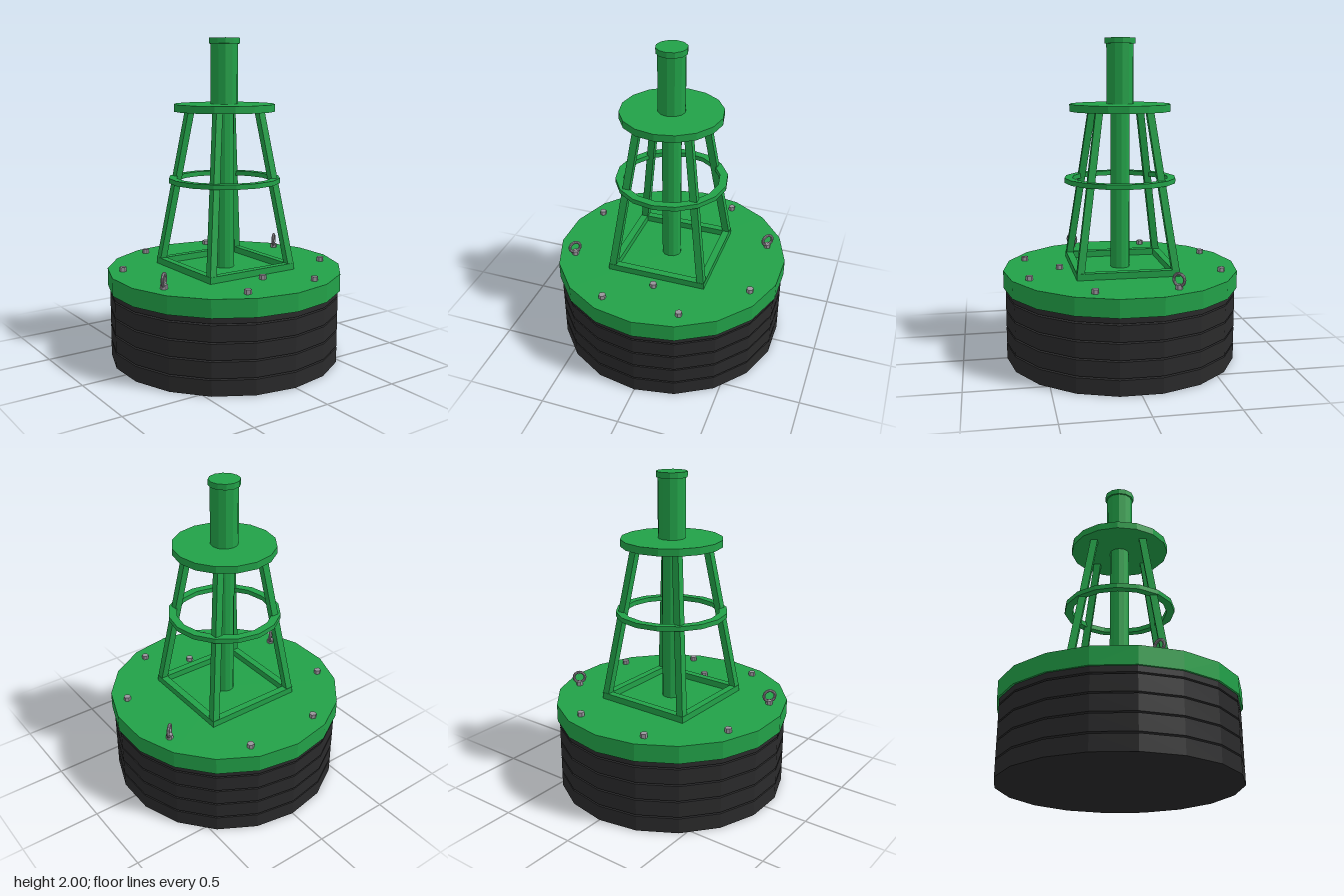
import * as THREE from 'three';

const flat = (name, color) => {
  const m = new THREE.MeshStandardMaterial({ color, flatShading: true });
  m.name = name;
  return m;
};

export function createModel() {
  const green = flat('green paint', 0x22a148);
  const black = flat('black rubber', 0x2a2a2b);
  const steel = flat('steel', 0x99959c);
  const buoy = new THREE.Group();
  buoy.name = 'buoy';

  const add = (name, geometry, material, x = 0, y = 0, z = 0, parent = buoy) => {
    const mesh = new THREE.Mesh(geometry, material);
    mesh.name = name;
    mesh.position.set(x, y, z);
    parent.add(mesh);
    return mesh;
  };
  // Upright prism between two heights
  const drum = (name, r, y0, y1, sides, material, x = 0, z = 0, parent = buoy) =>
    add(name, new THREE.CylinderGeometry(r, r, y1 - y0, sides), material, x, (y0 + y1) / 2, z, parent);

  // Float with four narrow grooves
  const R = 0.727, groove = 0.682;
  const profile = [[0, 0], [R, 0]];
  for (const y of [0.1, 0.207, 0.313, 0.42]) {
    profile.push([R, y - 0.005], [groove, y - 0.005], [groove, y + 0.005], [R, y + 0.005]);
  }
  profile.push([R, 0.465], [0, 0.465]);
  add('float', new THREE.LatheGeometry(profile.map(p => new THREE.Vector2(...p)), 18), black);

  // Deck, mast, platform and cap
  drum('deck', 0.74, 0.46, 0.57, 18, green);
  drum('lowerMast', 0.061, 0.565, 1.56, 12, green);
  drum('platform', 0.315, 1.555, 1.6, 16, green);
  drum('upperMast', 0.085, 1.595, 1.97, 12, green);
  drum('cap', 0.095, 1.965, 2, 12, green);

  // Guard ring around the legs
  const guard = [[0.3, 1.115], [0.35, 1.115], [0.35, 1.145], [0.3, 1.145], [0.3, 1.115]];
  add('guardRing', new THREE.LatheGeometry(guard.map(p => new THREE.Vector2(...p)), 16), green);

  // Square base frame
  for (const s of [-1, 1]) {
    add('frameBar', new THREE.BoxGeometry(0.63, 0.045, 0.045), green, 0, 0.5875, s * 0.2925);
    add('frameSideBar', new THREE.BoxGeometry(0.045, 0.045, 0.54), green, s * 0.2925, 0.5875, 0);
  }

  // Legs leaning in towards the mast
  for (const sx of [-1, 1]) for (const sz of [-1, 1]) {
    const y0 = 0.6, y1 = 1.56;
    const geo = new THREE.BoxGeometry(0.045, y1 - y0, 0.045);
    const p = geo.attributes.position;
    for (let i = 0; i < p.count; i++) {
      const c = p.getY(i) > 0 ? 0.155 : 0.2915;
      p.setX(i, p.getX(i) + sx * c);
      p.setZ(i, p.getZ(i) + sz * c);
    }
    geo.computeVertexNormals();
    add('leg', geo, green, 0, (y0 + y1) / 2, 0);
  }

  // Deck bolts
  const bolts = [[-0.245, -0.595], [0.245, -0.595], [-0.595, -0.247], [0.592, 0.245],
    [-0.245, 0.592], [0.245, 0.592], [0.012, 0.39]];
  for (const [x, z] of bolts) drum('bolt', 0.022, 0.565, 0.597, 6, steel, x, z);

  // Lifting eyes
  for (const s of [-1, 1]) {
    const eye = new THREE.Group();
    eye.name = 'liftingEye';
    eye.position.set(s * 0.585, 0, s * -0.241);
    buoy.add(eye);
    drum('eyeBase', 0.022, 0.565, 0.597, 6, steel, 0, 0, eye);
    const ring = add('eyeRing', new THREE.TorusGeometry(0.036, 0.0095, 8, 16), steel, 0, 0.625, 0, eye);
    ring.rotation.y = Math.PI / 4;
  }

  return buoy;
}
